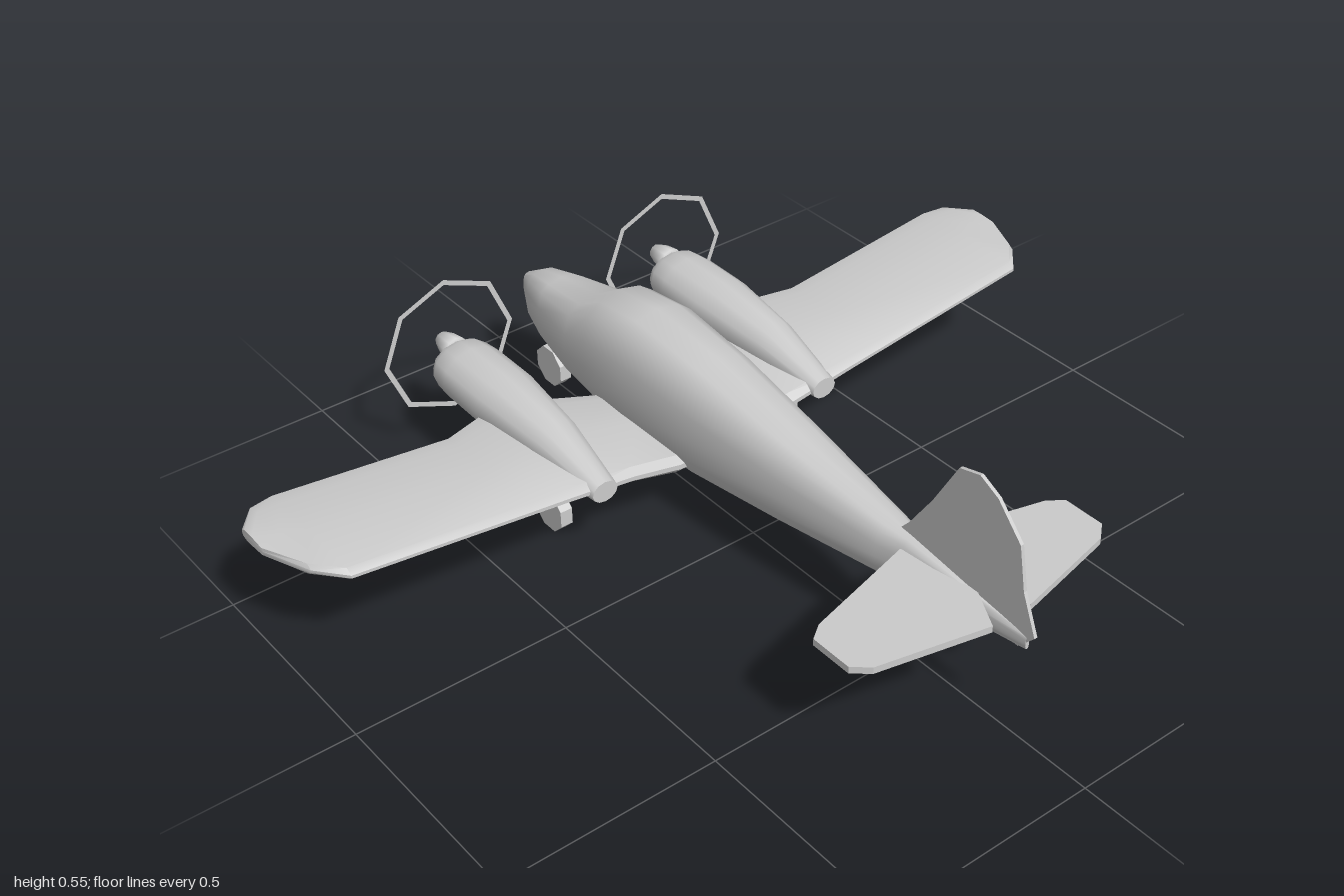
import * as THREE from 'three';
import { toCreasedNormals } from 'three/addons/utils/BufferGeometryUtils.js';

const grey = new THREE.MeshStandardMaterial({ color: 0xcccccc });
const thin = new THREE.MeshStandardMaterial({ color: 0xcccccc, side: THREE.DoubleSide });

// Skin over equal-sized rings of [x, y, z] with closed ends, facing outwards
function loft(rings, crease) {
  const n = rings[0].length, pts = rings.flat(), tris = [];
  for (let r = 0; r < rings.length - 1; r++) {
    for (let i = 0; i < n; i++) {
      const a = r * n + i, b = r * n + (i + 1) % n;
      tris.push([a, b, b + n], [a, b + n, a + n]);
    }
  }
  const last = (rings.length - 1) * n;
  for (let i = 1; i < n - 1; i++) tris.push([0, i + 1, i], [last, last + i, last + i + 1]);
  const v = pts.map(p => new THREE.Vector3(...p));
  const volume = tris.reduce((s, [a, b, c]) => s + v[a].dot(v[b].clone().cross(v[c])), 0);
  if (volume < 0) tris.forEach(t => t.reverse());
  const g = new THREE.BufferGeometry();
  g.setAttribute('position', new THREE.Float32BufferAttribute(pts.flat(), 3));
  g.setIndex(tris.flat());
  g.computeVertexNormals();
  return toCreasedNormals(g, crease);
}

function add(parent, name, geometry, material = grey) {
  const mesh = new THREE.Mesh(geometry, material);
  mesh.name = name;
  parent.add(mesh);
  return mesh;
}

// Flat plate from an outline, centred on its thickness
function plate(outline, depth) {
  const shape = new THREE.Shape(outline.map(p => new THREE.Vector2(...p)));
  return new THREE.ExtrudeGeometry(shape, { depth, bevelEnabled: false }).translate(0, 0, -depth / 2);
}

// Tapered strut between two points
function strut(from, to, r0, r1) {
  const a = new THREE.Vector3(...from), d = new THREE.Vector3(...to).sub(a);
  const g = new THREE.CylinderGeometry(r1, r0, d.length(), 8).translate(0, d.length() / 2, 0);
  g.applyQuaternion(new THREE.Quaternion().setFromUnitVectors(new THREE.Vector3(0, 1, 0), d.normalize()));
  return g.translate(...from);
}

function wheel(x, z) {
  return toCreasedNormals(new THREE.CylinderGeometry(0.052, 0.052, 0.03, 8), 0.5)
    .rotateY(Math.PI / 8).rotateZ(Math.PI / 2).translate(x, 0.05, z);
}

function fuselage() {
  // Half section as [share of width, share of height], mirrored
  const half = [[0, 1], [0.5, 0.96], [0.8, 0.87], [0.95, 0.65], [1, 0.42], [0.96, 0.22], [0.72, 0.04], [0, 0]];
  const section = [...half, ...half.slice(1, -1).reverse().map(([x, y]) => [-x, y])];
  // Stations: z, half width, bottom, top
  const stations = [
    [-0.84, 0.018, 0.21, 0.27], [-0.78, 0.05, 0.175, 0.305], [-0.7, 0.073, 0.155, 0.322],
    [-0.56, 0.1, 0.138, 0.345], [-0.47, 0.11, 0.13, 0.4], [-0.33, 0.113, 0.124, 0.42],
    [-0.12, 0.105, 0.124, 0.4], [0.15, 0.083, 0.155, 0.355], [0.44, 0.048, 0.187, 0.312],
    [0.5, 0.034, 0.195, 0.307], [0.66, 0.02, 0.212, 0.285], [0.82, 0.005, 0.23, 0.265],
  ];
  return loft(stations.map(([z, w, y0, y1]) => section.map(([x, y]) => [x * w, y0 + y * (y1 - y0), z])), 0.9);
}

function wing(s) {
  // Slab section as [share of chord, share of half thickness]
  const section = [[0, 0], [0.03, 0.6], [0.15, 1], [0.5, 1], [0.95, 0.75], [1, 0.2],
    [1, -0.2], [0.95, -0.75], [0.5, -1], [0.15, -1], [0.03, -0.6]];
  // Stations: x, leading edge, trailing edge, height, half thickness
  const stations = [
    [0, -0.45, -0.125, 0.152, 0.028], [0.1, -0.45, -0.125, 0.156, 0.03], [0.22, -0.485, -0.128, 0.181, 0.026],
    [0.38, -0.495, -0.13, 0.201, 0.022], [0.48, -0.456, -0.13, 0.213, 0.02],
    [0.9, -0.455, -0.13, 0.264, 0.018], [0.955, -0.44, -0.19, 0.268, 0.017], [1, -0.385, -0.3, 0.27, 0.012],
  ];
  return loft(stations.map(([x, le, te, y, h]) =>
    section.map(([c, t]) => [x * s, y + t * h, le + c * (te - le)])), 0.6);
}

function nacelle() {
  // Stations: z, half width, bottom, top
  const stations = [
    [-0.685, 0.064, 0.185, 0.278], [-0.665, 0.076, 0.168, 0.288], [-0.62, 0.08, 0.163, 0.292],
    [-0.49, 0.08, 0.158, 0.292], [-0.3, 0.06, 0.158, 0.272], [-0.12, 0.032, 0.165, 0.215],
  ];
  return loft(stations.map(([z, w, y0, y1]) => Array.from({ length: 12 }, (_, i) => {
    const a = (i / 12) * Math.PI * 2;
    return [Math.cos(a) * w, (y0 + y1) / 2 + Math.sin(a) * (y1 - y0) / 2, z];
  })), 0.9);
}

export function createModel() {
  const plane = new THREE.Group();
  plane.name = 'twinEngineAircraft';
  add(plane, 'fuselage', fuselage());

  // Tail surfaces
  const finOutline = [[0.46, 0.3], [0.49, 0.335], [0.55, 0.425], [0.615, 0.54], [0.67, 0.555], [0.72, 0.53],
    [0.785, 0.46], [0.803, 0.36], [0.84, 0.27], [0.8, 0.226], [0.65, 0.24]];
  add(plane, 'fin', plate(finOutline, 0.008).rotateY(-Math.PI / 2));
  const tailOutline = [[0, 0.49], [0.03, 0.495], [0.3, 0.565], [0.335, 0.59], [0.335, 0.69],
    [0.3, 0.72], [0.05, 0.775], [0, 0.68]];

  for (const s of [1, -1]) {
    const side = s > 0 ? 'left' : 'right';
    add(plane, side + 'Wing', wing(s));
    add(plane, side + 'Tailplane', plate(tailOutline.map(([x, z]) => [x * s, z]), 0.016)
      .rotateX(Math.PI / 2)).position.y = 0.276;

    // Engine with spinner and octagonal propeller ring
    const engine = new THREE.Group();
    engine.name = side + 'Engine';
    engine.position.x = 0.303 * s;
    add(engine, 'nacelle', nacelle());
    const profile = [[0, 0], [0.032, 0], [0.027, 0.035], [0.018, 0.062], [0.008, 0.071], [0, 0.072]];
    const spinner = new THREE.LatheGeometry(profile.map(p => new THREE.Vector2(...p)), 10);
    add(engine, 'spinner', spinner.rotateX(-Math.PI / 2)).position.set(0, 0.255, -0.683);
    add(engine, 'propellerRing', new THREE.RingGeometry(0.157, 0.17, 8), thin).position.set(0, 0.255, -0.715);
    plane.add(engine);

    // Main landing gear
    add(plane, side + 'MainWheel', wheel(0.32 * s, -0.297));
    add(plane, side + 'MainStrut', strut([0.32 * s, 0.06, -0.297], [0.308 * s, 0.18, -0.297], 0.014, 0.021));
  }

  // Nose gear
  add(plane, 'noseWheel', wheel(0, -0.757));
  add(plane, 'noseStrut', strut([0, 0.06, -0.75], [0, 0.18, -0.715], 0.011, 0.016));
  return plane;
}
